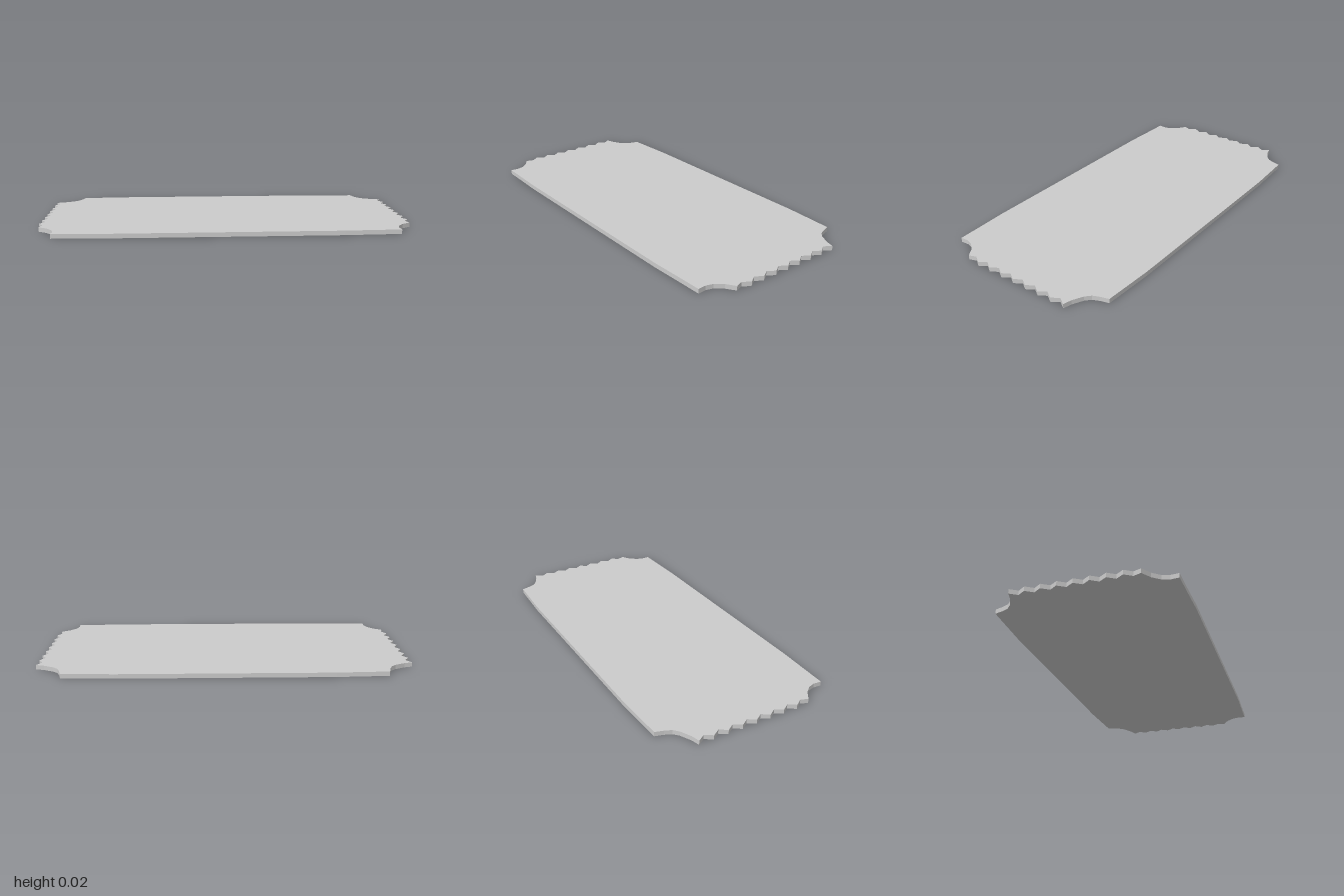
import * as THREE from 'three';

const THICKNESS = 0.024;

// Right half of the outline as [x, z], running from the back edge to the front
function halfOutline() {
  const points = [
    // gently bowed back edge
    [0.57, -0.482], [0.73, -0.475], [0.845, -0.47],
    // scooped back corner
    [0.858, -0.425], [0.873, -0.39], [0.9, -0.365], [0.955, -0.337],
  ];
  // serrated side: eight notches between nine points
  const teeth = 8, start = -0.325, pitch = 0.08;
  for (let i = 0; i <= teeth; i++) {
    const z = start + i * pitch;
    points.push([i === teeth ? 0.987 : 0.999, z]);
    if (i < teeth) points.push([0.973, z + pitch / 2]);
  }
  // scooped front corner and nearly straight front edge
  points.push([0.94, 0.347], [0.908, 0.387], [0.897, 0.425], [0.9, 0.469]);
  points.push([0.76, 0.473], [0.6, 0.479]);
  return points;
}

export function createModel() {
  const model = new THREE.Group();
  model.name = 'ticketPlate';

  // Mirror the half outline to close the plate
  const right = halfOutline();
  const left = right.map(([x, z]) => [-x, z]).reverse();
  const outline = [...right, ...left].map(([x, z]) => new THREE.Vector2(x, z));

  const geometry = new THREE.ExtrudeGeometry(new THREE.Shape(outline), {
    depth: THICKNESS,
    bevelEnabled: false,
  });
  // Lay the plate flat on the ground
  geometry.rotateX(Math.PI / 2).translate(0, THICKNESS, 0);

  const plate = new THREE.Mesh(geometry, new THREE.MeshStandardMaterial({ color: 0xcccccc }));
  plate.name = 'plate';
  model.add(plate);
  return model;
}
